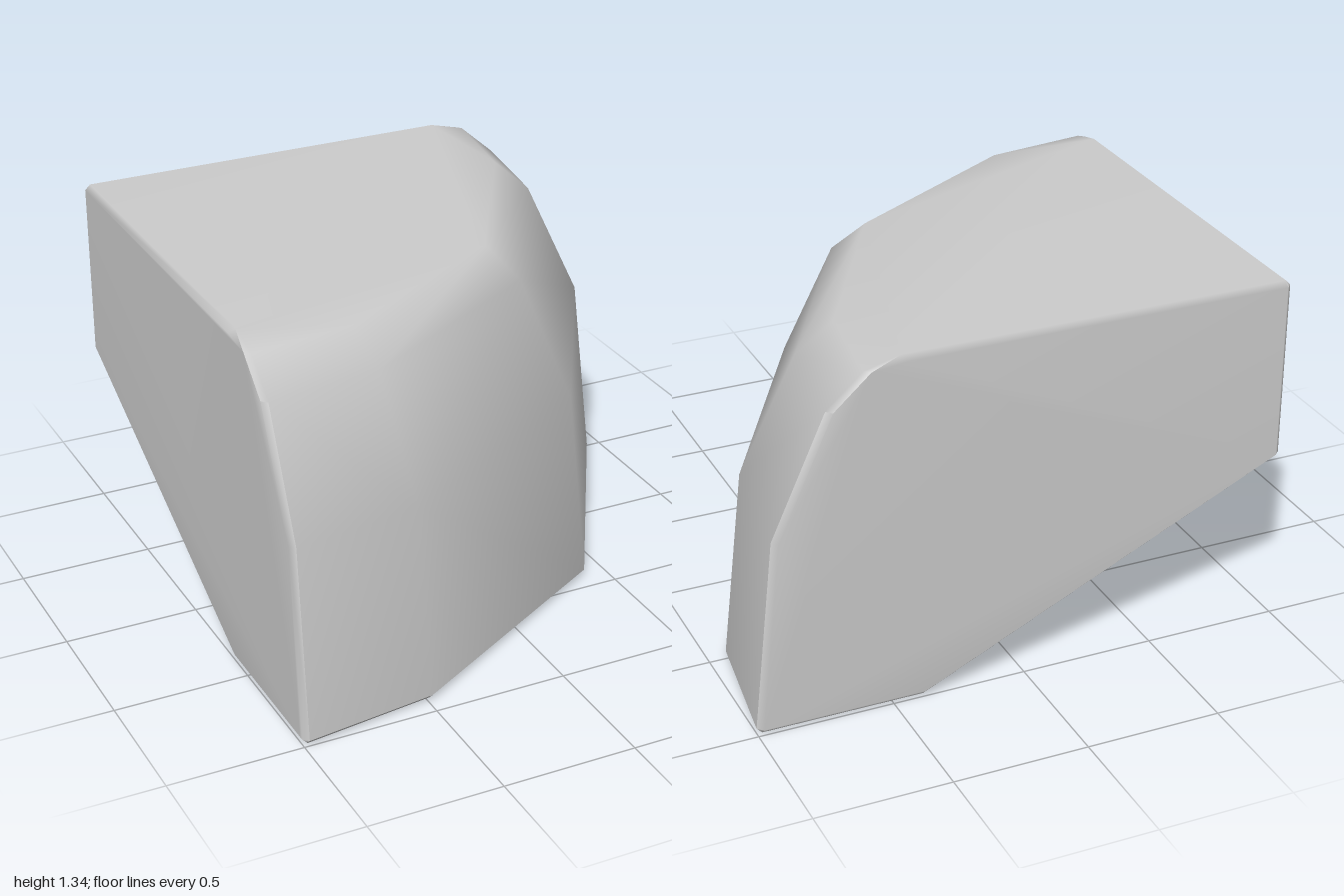
import * as THREE from 'three';
import { ConvexGeometry } from 'three/addons/geometries/ConvexGeometry.js';

const BEVEL = 0.02;
const HEIGHT = 1.335;

// Area-weighted smooth normals; edges sharper than the crease angle stay hard.
function smoothNormals(geometry, crease) {
  const pos = geometry.attributes.position;
  const corners = [], faces = [];
  for (let i = 0; i < pos.count; i++) corners.push(new THREE.Vector3().fromBufferAttribute(pos, i));
  for (let i = 0; i < pos.count; i += 3) {
    const [a, b, c] = corners.slice(i, i + 3);
    faces.push(b.clone().sub(a).cross(c.clone().sub(a)));
  }
  const normals = [];
  corners.forEach((p, i) => {
    const own = faces[Math.floor(i / 3)];
    const n = own.clone();
    corners.forEach((q, j) => {
      const other = faces[Math.floor(j / 3)];
      if (other !== own && p.distanceToSquared(q) < 1e-10 && own.angleTo(other) < crease) n.add(other);
    });
    normals.push(...n.normalize().toArray());
  });
  geometry.setAttribute('normal', new THREE.Float32BufferAttribute(normals, 3));
  return geometry;
}

export function createModel() {
  const points = [];
  const add = (x, y, z) => points.push(new THREE.Vector3(x, y, z));
  // Every point is mirrored across the diagonal of the corner
  const addPair = (x, y, z) => { add(x, y, z); add(z, y, x); };

  // Domed outer wall: radius measured from the square corner, and height
  const profile = [[1.98, 0], [2, BEVEL], [1.93, 0.735], [1.73, 1.18], [1.595, 1.3]];
  for (const degrees of [15, 45, 75]) {
    const a = THREE.MathUtils.degToRad(degrees);
    for (const [r, y] of profile) add(-1 + r * Math.cos(a), y, -1 + r * Math.sin(a));
  }

  // Ends of the wall, bevelled where they meet the two flat sides
  for (const [r, y] of [...profile, [1.46, HEIGHT]]) {
    addPair(r - 1, y, -1 + BEVEL);
    addPair(r - 1 - BEVEL, THREE.MathUtils.clamp(y, BEVEL, HEIGHT - BEVEL), -1);
  }

  // Square corner: bevelled top and upright edge
  add(-1 + BEVEL, HEIGHT, -1 + BEVEL);
  addPair(-1 + BEVEL, HEIGHT - BEVEL, -1);
  addPair(-1 + BEVEL, 0.66, -1);

  // Slanting cut under the square corner
  addPair(0.38, 0, -1 + BEVEL);
  addPair(0.38, BEVEL, -1);

  const block = new THREE.Mesh(
    smoothNormals(new ConvexGeometry(points), 0.85),
    new THREE.MeshStandardMaterial({ color: 0xcccccc })
  );
  block.name = 'domedCornerBlock';

  const group = new THREE.Group();
  group.name = 'cornerBlock';
  group.add(block);
  return group;
}
